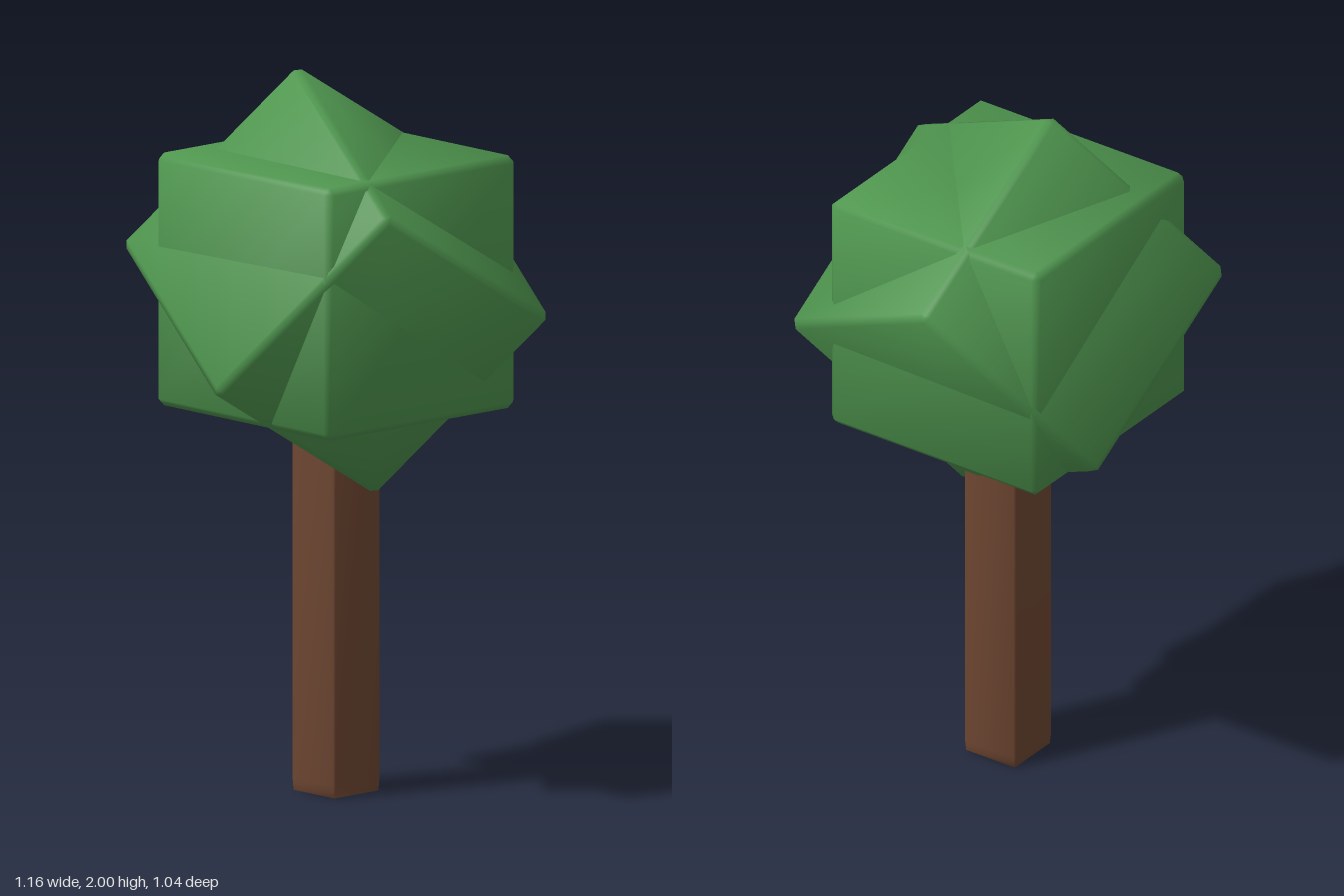
import * as THREE from 'three';

const HALF = 0.3525, BEVEL = 0.02;

// Cube with chamfered edges and soft normals that blend across every face
function bevelledCube() {
  const geo = new THREE.BoxGeometry(2, 2, 2, 3, 3, 3);
  const pos = geo.attributes.position, nor = geo.attributes.normal;
  // outer coordinate and outer normal weight, by number of outer coordinates
  const outerPos = [0, HALF, HALF - BEVEL / 2, HALF - BEVEL * 2 / 3];
  const outerNormal = [0, 2.5, 1.75, 1];
  const n = new THREE.Vector3();
  for (let i = 0; i < pos.count; i++) {
    const p = [pos.getX(i), pos.getY(i), pos.getZ(i)];
    const isOuter = p.map(c => Math.abs(c) > 0.9);
    const count = isOuter.filter(Boolean).length;
    pos.setXYZ(i, ...p.map((c, k) => Math.sign(c) * (isOuter[k] ? outerPos[count] : HALF - BEVEL)));
    n.set(...p.map((c, k) => Math.sign(c) * (isOuter[k] ? outerNormal[count] : 1))).normalize();
    nor.setXYZ(i, n.x, n.y, n.z);
  }
  return geo;
}

export function createModel() {
  const group = new THREE.Group();
  const leaf = new THREE.MeshStandardMaterial({ name: 'leafGreen', color: 0x4f964f });
  const bark = new THREE.MeshStandardMaterial({ name: 'barkBrown', color: 0x6e4631 });
  const cube = bevelledCube();

  const add = (name, material, y) => {
    const mesh = new THREE.Mesh(cube, material);
    mesh.name = name;
    mesh.position.y = y;
    group.add(mesh);
    return mesh;
  };

  // Trunk: the same cube stretched into a post that ends inside the leaves
  const trunkHeight = 1.25;
  const trunk = add('trunk', bark, trunkHeight / 2);
  trunk.scale.set(0.246, trunkHeight / (2 * HALF), 0.246);
  trunk.rotation.y = -Math.PI / 6;

  // Upright leaf block
  add('uprightLeaves', leaf, 1.4225).rotation.y = -Math.PI / 6;

  // Leaf block tipped onto a corner
  const tilt = new THREE.Matrix4().makeBasis(
    new THREE.Vector3(-0.592, 0.450, -0.668).normalize(),
    new THREE.Vector3(-0.435, 0.519, 0.736).normalize(),
    new THREE.Vector3(0.678, 0.727, -0.112).normalize()
  );
  add('tiltedLeaves', leaf, 1.4225).quaternion.setFromRotationMatrix(tilt);

  return group;
}
